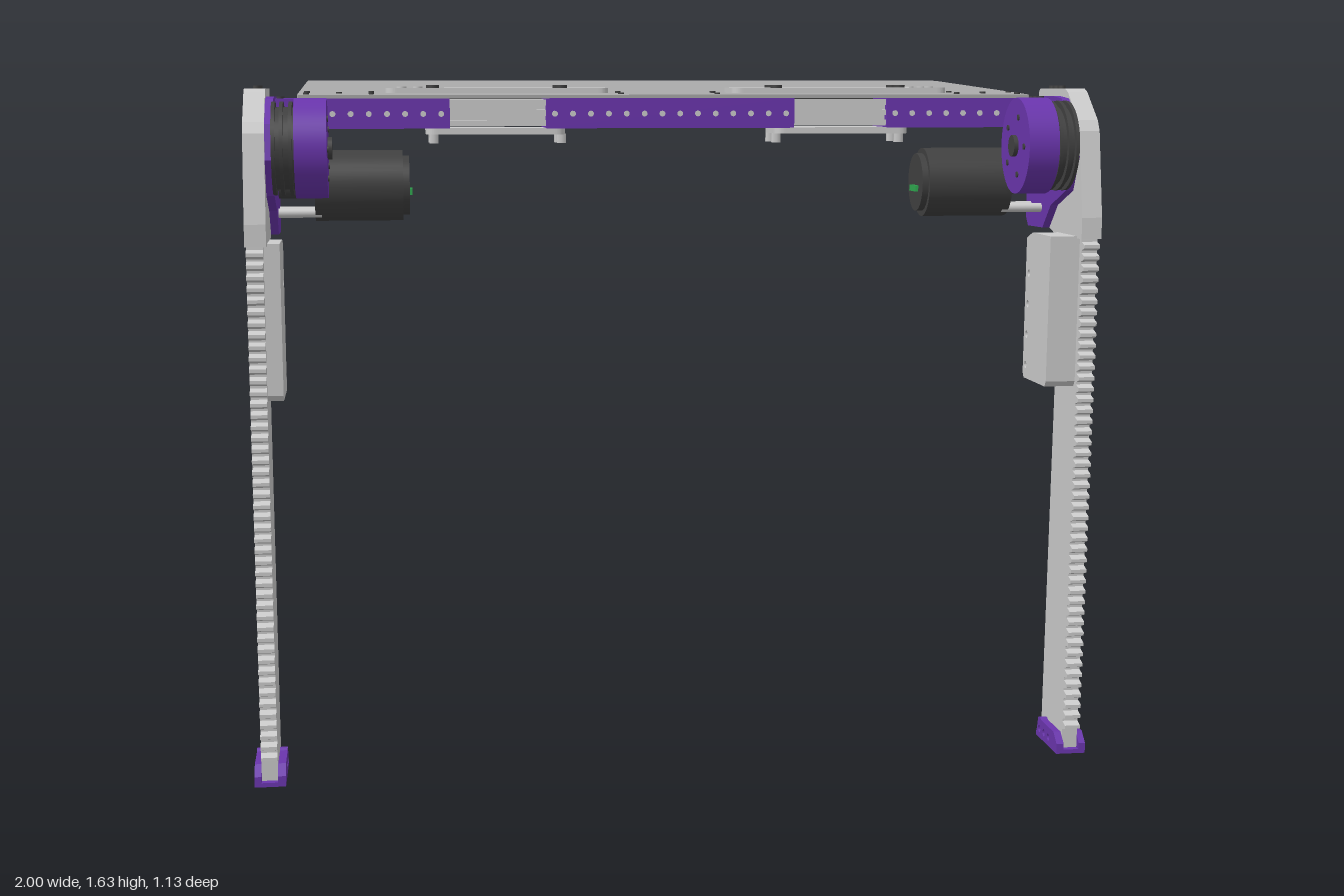
import * as THREE from 'three';

const mat = (color) => new THREE.MeshStandardMaterial({ color });
const grey = mat(0xcccccc), sheetGrey = mat(0xaaaaaa), purple = mat(0x6a35ad), dark = mat(0x404040), green = mat(0x2fa84f);

function add(parent, name, geometry, material, x = 0, y = 0, z = 0) {
  const mesh = new THREE.Mesh(geometry, material);
  mesh.name = name;
  mesh.position.set(x, y, z);
  parent.add(mesh);
  return mesh;
}

// Box given by its limits on each axis
function box(parent, name, material, [x0, x1], [y0, y1], [z0, z1]) {
  return add(parent, name, new THREE.BoxGeometry(Math.abs(x1 - x0), y1 - y0, z1 - z0), material,
    (x0 + x1) / 2, (y0 + y1) / 2, (z0 + z1) / 2);
}

// Cylinder lying along x
function rodX(parent, name, material, r, xa, xb, y, z, seg = 40) {
  const g = new THREE.CylinderGeometry(r, r, Math.abs(xb - xa), seg).rotateZ(Math.PI / 2);
  return add(parent, name, g, material, (xa + xb) / 2, y, z);
}

// Plate from a [z, y] outline, thick along x from xa to xb, with round holes [z, y, r]
function plateX(parent, name, material, outline, xa, xb, holes = []) {
  const shape = new THREE.Shape(outline.map(([z, y]) => new THREE.Vector2(z, y)));
  for (const [z, y, r] of holes) shape.holes.push(new THREE.Path().absarc(z, y, r, 0, Math.PI * 2, true));
  const g = new THREE.ExtrudeGeometry(shape, { depth: Math.abs(xb - xa), bevelEnabled: false, curveSegments: 8 });
  return add(parent, name, g.rotateY(-Math.PI / 2), material, Math.max(xa, xb));
}

// Flat plate with rounded corners: width along x, depth along z, standing on y = 0
function flatPlate(w, d, h, r, frontRadius = r) {
  const s = new THREE.Shape(), a = w / 2, b = d / 2, f = frontRadius;
  s.moveTo(-a + f, -b).lineTo(a - f, -b).quadraticCurveTo(a, -b, a, -b + f);
  s.lineTo(a, b - r).quadraticCurveTo(a, b, a - r, b);
  s.lineTo(-a + r, b).quadraticCurveTo(-a, b, -a, b - r);
  s.lineTo(-a, -b + f).quadraticCurveTo(-a, -b, -a + f, -b);
  return new THREE.ExtrudeGeometry(s, { depth: h, bevelEnabled: false }).rotateX(-Math.PI / 2);
}

// Leg blade with a toothed front edge
function bladeOutline() {
  const teeth = 46, y0 = 0.055, pitch = (1.255 - y0) / teeth;
  const edge = (y) => 0.479 + 0.031 * y;
  const pts = [[0.32, 0.01], [edge(0), 0.01]];
  for (let i = 0; i < teeth; i++) {
    for (const [t, out] of [[0.1, 0], [0.35, 0.02], [0.65, 0.02], [0.9, 0]]) {
      const y = y0 + (i + t) * pitch;
      pts.push([edge(y) + out, y]);
    }
  }
  pts.push([0.517, 1.3], [0.364, 1.3]);
  return pts;
}

const headOutline = [[0.362, 1.19], [0.37, 1.26], [0.54, 1.26], [0.54, 1.31], [0.505, 1.51], [0.49, 1.535],
  [0.41, 1.6], [0.39, 1.608], [0.2, 1.608], [0.19, 1.6], [0.182, 1.41], [0.255, 1.3], [0.29, 1.275],
  [0.335, 1.262], [0.355, 1.24]];
const mountOutline = [[0.18, 1.59], [0.165, 1.4], [0.168, 1.29], [0.185, 1.27], [0.3, 1.272], [0.36, 1.33],
  [0.47, 1.37], [0.51, 1.45], [0.49, 1.53], [0.42, 1.585], [0.36, 1.59]];
const footOutline = [[0.335, 0], [0.496, 0], [0.496, 0.025], [0.47, 0.048], [0.372, 0.048], [0.365, 0.053],
  [0.35, 0.05]];

// One leg with its foot, motor and pulleys; s is +1 or -1
function buildSide(s) {
  const side = new THREE.Group();
  side.name = s > 0 ? 'leftLegAssembly' : 'rightLegAssembly';
  plateX(side, 'toothedLeg', grey, bladeOutline(), s * 0.946, s * 0.984);
  plateX(side, 'legHead', grey, headOutline, s * 0.938, s * 0.986);

  // Foot clamp: two cheeks, a sole and cross pins
  const pins = [0.43, 0.395, 0.36];
  for (const [a, b] of [[0.928, 0.946], [0.984, 1]])
    plateX(side, 'footCheek', purple, footOutline, s * a, s * b, pins.map((z) => [z, 0.022, 0.009]));
  box(side, 'footSole', purple, [s * 0.928, s], [0, 0.01], [0.335, 0.496]);

  // Cover block beside the leg
  const [ca, cb] = s > 0 ? [0.874, 0.945] : [-0.968, -0.91];
  plateX(side, 'coverBlock', grey, [[0.326, 1.25], [0.318, 0.92], [0.326, 0.907], [0.49, 0.907], [0.5, 0.92], [0.508, 1.265],
    [0.37, 1.265]], ca, cb, [0, 1, 2, 3].map((i) => [0.338 + i * 0.003, 0.94 + i * 0.075, 0.009]));

  // Motor mount, pulley pair and drum
  plateX(side, 'motorMount', purple, mountOutline, s * 0.92, s * 0.938);
  const py = 1.475, pz = 0.452;
  rodX(side, 'axle', dark, 0.025, s * 0.79, s * 0.938, py, pz, 20);
  rodX(side, 'drum', purple, 0.112, s * 0.8, s * 0.872, py, pz, 48);
  rodX(side, 'drumCap', dark, 0.018, s * 0.795, s * 0.81, py, pz, 20);
  for (let i = 0; i < 5; i++) {
    const a = (i / 5) * Math.PI * 2;
    rodX(side, 'drumBolt', dark, 0.007, s * 0.797, s * 0.81, py + 0.07 * Math.sin(a), pz + 0.07 * Math.cos(a), 10);
  }
  rodX(side, 'pulleyCore', dark, 0.092, s * 0.872, s * 0.92, py, pz);
  for (const x of [0.88, 0.9, 0.918]) rodX(side, 'pulleyFlange', dark, 0.105, s * (x - 0.004), s * (x + 0.004), py, pz);

  // Motor with standoffs, end cap and connector
  const my = 1.382, mz = 0.242;
  rodX(side, 'motor', dark, 0.083, s * 0.63, s * 0.835, my, mz);
  rodX(side, 'motorCap', dark, 0.07, s * 0.615, s * 0.63, my, mz);
  rodX(side, 'motorShaft', dark, 0.03, s * 0.835, s * 0.94, my, mz, 20);
  box(side, 'connector', green, [s * 0.608, s * 0.616], [1.36, 1.375], [0.21, 0.27]);
  for (const [dy, dz] of [[-0.062, -0.04], [-0.062, 0.04], [0.062, -0.04], [0.062, 0.04]])
    rodX(side, 'standoff', grey, 0.011, s * 0.82, s * 0.925, my + dy, mz + dz, 12);
  rodX(side, 'mountBoss', dark, 0.03, s * 0.9, s * 0.936, 1.382, 0.186, 20);

  // Head bolts on the side and on top
  for (const z of [0.22, 0.257, 0.293]) {
    rodX(side, 'headBolt', dark, 0.009, s * 0.98, s * 0.988, 1.553, z, 12);
    add(side, 'headTopBolt', new THREE.CylinderGeometry(0.009, 0.009, 0.01, 12), dark, s * 0.962, 1.61, z);
  }
  return side;
}

// Cross rail: metal profile, purple channels, clamp plates and screws
function buildRail() {
  const rail = new THREE.Group();
  rail.name = 'crossRail';
  box(rail, 'profileCore', grey, [-0.9, 0.9], [1.53, 1.578], [0.2, 0.305]);
  for (const y of [1.528, 1.552, 1.576])
    box(rail, 'profileRib', grey, [-0.9, 0.9], [y - 0.007, y + 0.007], [0.188, 0.317]);
  const channels = [[-0.935, -0.52], [-0.295, 0.295], [0.52, 0.935]];
  for (const range of channels) {
    box(rail, 'channel', purple, range, [1.516, 1.586], [0.18, 0.327]);
    const count = Math.round((range[1] - range[0] - 0.04) / 0.043);
    for (let i = 0; i <= count; i++) {
      const x = range[0] + 0.02 + (i / count) * (range[1] - range[0] - 0.04);
      for (const z of [0.18, 0.327])
        add(rail, 'channelScrew', new THREE.CylinderGeometry(0.007, 0.007, 0.003, 10).rotateX(Math.PI / 2), grey, x, 1.55, z);
    }
  }
  for (const s of [-1, 1]) {
    add(rail, 'topClampPlate', flatPlate(0.52, 0.145, 0.012, 0.025), grey, s * 0.407, 1.598, 0.253);
    add(rail, 'lowerClampPlate', flatPlate(0.325, 0.145, 0.015, 0.025), grey, s * 0.412, 1.502, 0.253);
    for (const x of [0.257, 0.557]) for (const z of [0.218, 0.292]) {
      add(rail, 'clampBolt', new THREE.CylinderGeometry(0.014, 0.014, 0.008, 16), dark, s * x, 1.612, z);
      add(rail, 'clampNut', new THREE.CylinderGeometry(0.012, 0.012, 0.022, 6), grey, s * x, 1.492, z);
    }
    for (const [x, z] of [[0.63, 0.218], [0.63, 0.292], [0.592, 0.255]])
      add(rail, 'clampScrew', new THREE.CylinderGeometry(0.011, 0.011, 0.004, 12), grey, s * x, 1.611, z);
    for (const [x, z] of [[0.7, 0.22], [0.7, 0.292], [0.775, 0.255], [0.85, 0.22], [0.85, 0.292], [0.115, 0.22], [0.115, 0.292]])
      add(rail, 'sheetScrew', new THREE.CylinderGeometry(0.007, 0.007, 0.006, 10), dark, s * x, 1.605 - z * 0.04 + 0.003, z);
    for (const z of [0.22, 0.255, 0.292])
      add(rail, 'endScrew', new THREE.CylinderGeometry(0.008, 0.008, 0.006, 10), dark, s * 0.91, 1.587, z);
  }
  return rail;
}

// Slightly tilted top sheet with its frame bars and corner blocks
function buildTop() {
  const top = new THREE.Group();
  top.name = 'tableTop';
  top.position.y = 1.605;
  top.rotation.x = 0.04;
  add(top, 'sheet', flatPlate(1.74, 0.895, 0.008, 0.045, 0.004), sheetGrey, 0, -0.006, -0.118);
  box(top, 'backBar', dark, [-0.82, 0.82], [-0.058, -0.034], [-0.537, -0.513]);
  for (const s of [-1, 1]) {
    box(top, 'sideBar', dark, [s * 0.828, s * 0.852], [-0.058, -0.034], [-0.5, 0.2]);
    // Corner block, chamfered on the inner and outer corners
    const pts = [[0.765, 0.56], [0.84, 0.56], [0.878, 0.52], [0.878, 0.445], [0.81, 0.445], [0.765, 0.49]];
    const shape = new THREE.Shape(pts.map(([x, y]) => new THREE.Vector2(s * x, y)));
    const g = new THREE.ExtrudeGeometry(shape, { depth: 0.068, bevelEnabled: false }).rotateX(-Math.PI / 2);
    add(top, 'cornerBlock', g, purple, 0, -0.076, 0);
    rodX(top, 'cornerBolt', dark, 0.02, s * 0.83, s * 0.881, -0.045, -0.505, 20);
    add(top, 'cornerScrew', new THREE.CylinderGeometry(0.014, 0.014, 0.008, 16), dark, s * 0.82, -0.076, -0.505);
  }
  return top;
}

export function createModel() {
  const model = new THREE.Group();
  model.name = 'foldingTable';
  model.add(buildSide(1), buildSide(-1), buildRail(), buildTop());
  return model;
}
